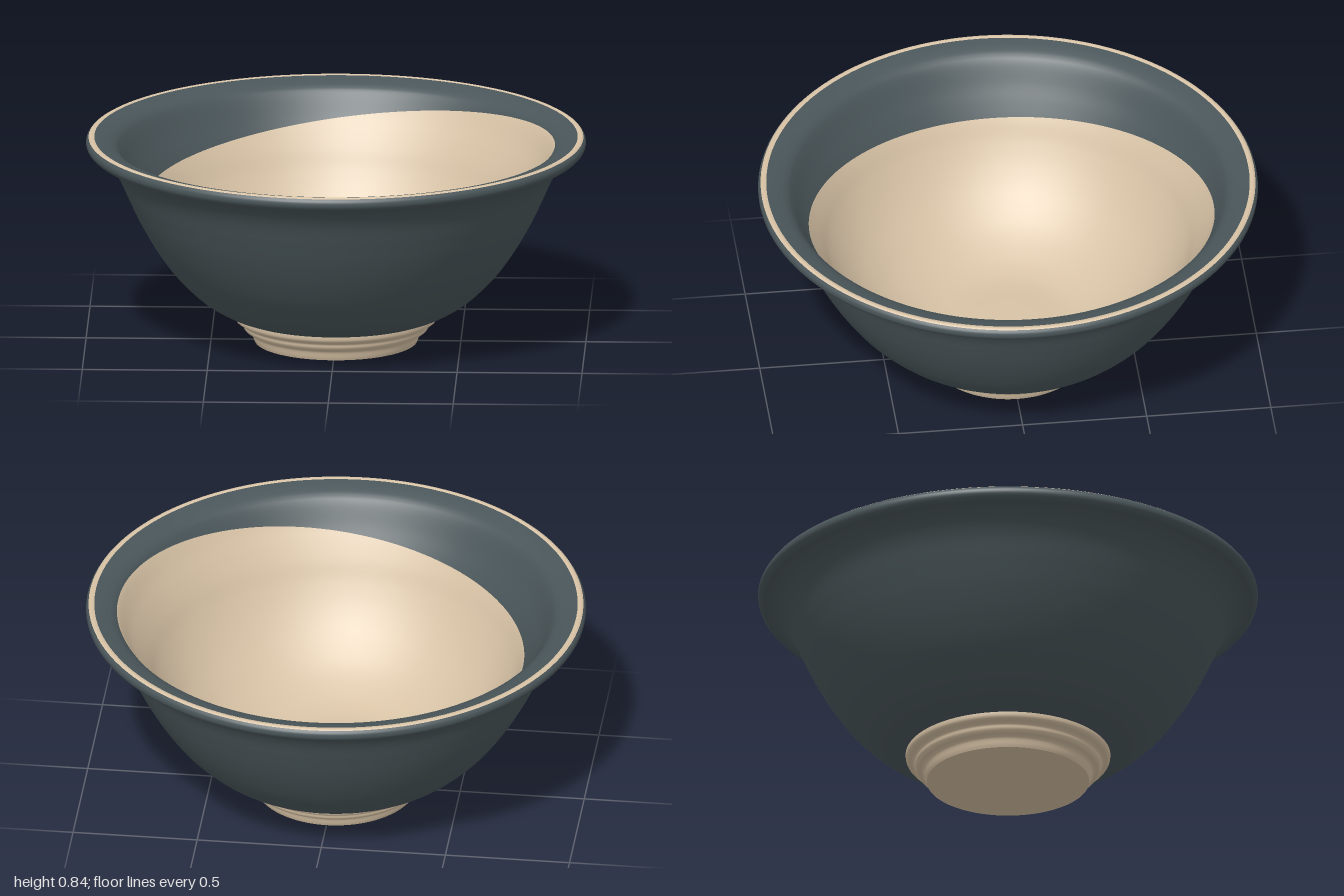
import * as THREE from 'three';
import { ParametricGeometry } from 'three/addons/geometries/ParametricGeometry.js';

const SEGMENTS = 128;
const spline = (pts) => new THREE.SplineCurve(pts.map(([r, y]) => new THREE.Vector2(r, y)));

export function createModel() {
  const group = new THREE.Group();
  const glaze = new THREE.MeshStandardMaterial({ color: 0x4a565a });
  glaze.name = 'slate glaze';
  const clay = new THREE.MeshStandardMaterial({ color: 0xd7c2a5 });
  clay.name = 'bare clay';

  const add = (name, geometry, material) => {
    const mesh = new THREE.Mesh(geometry, material);
    mesh.name = name;
    group.add(mesh);
  };
  const lathe = (points) => new THREE.LatheGeometry(points, SEGMENTS);

  // Outer wall flaring into the rounded lip
  const wall = spline([
    [0.4, 0.113], [0.47, 0.142], [0.555, 0.198], [0.65, 0.293], [0.725, 0.398], [0.785, 0.503],
    [0.83, 0.598], [0.87, 0.687], [0.91, 0.745], [0.952, 0.777], [0.982, 0.788],
    [0.998, 0.806], [0.999, 0.825], [0.99, 0.839],
  ]);
  add('outerWall', lathe(wall.getPoints(90)), glaze);

  // Unglazed ring along the top of the lip
  const rim = spline([[0.99, 0.839], [0.98, 0.844], [0.967, 0.841]]);
  add('rimRing', lathe(rim.getPoints(6)), clay);

  // Stepped foot with softly rounded ridges
  const foot = spline([
    [0.325, 0], [0.33, 0.012], [0.337, 0.034], [0.347, 0.044], [0.362, 0.05], [0.372, 0.062],
    [0.376, 0.076], [0.385, 0.084], [0.4, 0.091], [0.408, 0.102], [0.41, 0.12],
  ]);
  add('foot', lathe(foot.getPoints(60)), clay);
  const base = new THREE.CircleGeometry(0.325, SEGMENTS);
  base.rotateX(Math.PI / 2);
  add('footBase', base, clay);

  // Interior, divided along a tilted dip line
  const inside = spline([
    [0.001, 0.15], [0.12, 0.15], [0.25, 0.151], [0.33, 0.168], [0.4, 0.198], [0.47, 0.238],
    [0.53, 0.284], [0.6, 0.352], [0.66, 0.43], [0.71, 0.513], [0.748, 0.59], [0.785, 0.655],
    [0.822, 0.715], [0.865, 0.79], [0.89, 0.816], [0.925, 0.831], [0.967, 0.841],
  ]);
  const point = new THREE.Vector2();
  const dipAt = (angle) => {
    let lo = 0.2, hi = 1;
    for (let i = 0; i < 45; i++) {
      const mid = (lo + hi) / 2;
      inside.getPoint(mid, point);
      const line = 0.695 + point.x * (0.125 * Math.cos(angle) - 0.015 * Math.sin(angle));
      if (point.y < line) lo = mid; else hi = mid;
    }
    return lo;
  };
  const interior = (upper, rows) => new ParametricGeometry((u, v, target) => {
    const angle = u * Math.PI * 2;
    const dip = dipAt(angle);
    inside.getPoint(upper ? dip + (1 - dip) * v : dip * v, point);
    target.set(point.x * Math.cos(angle), point.y, point.x * Math.sin(angle));
  }, SEGMENTS, rows);
  add('bareInterior', interior(false, 48), clay);
  add('glazedInteriorBand', interior(true, 24), glaze);

  return group;
}
